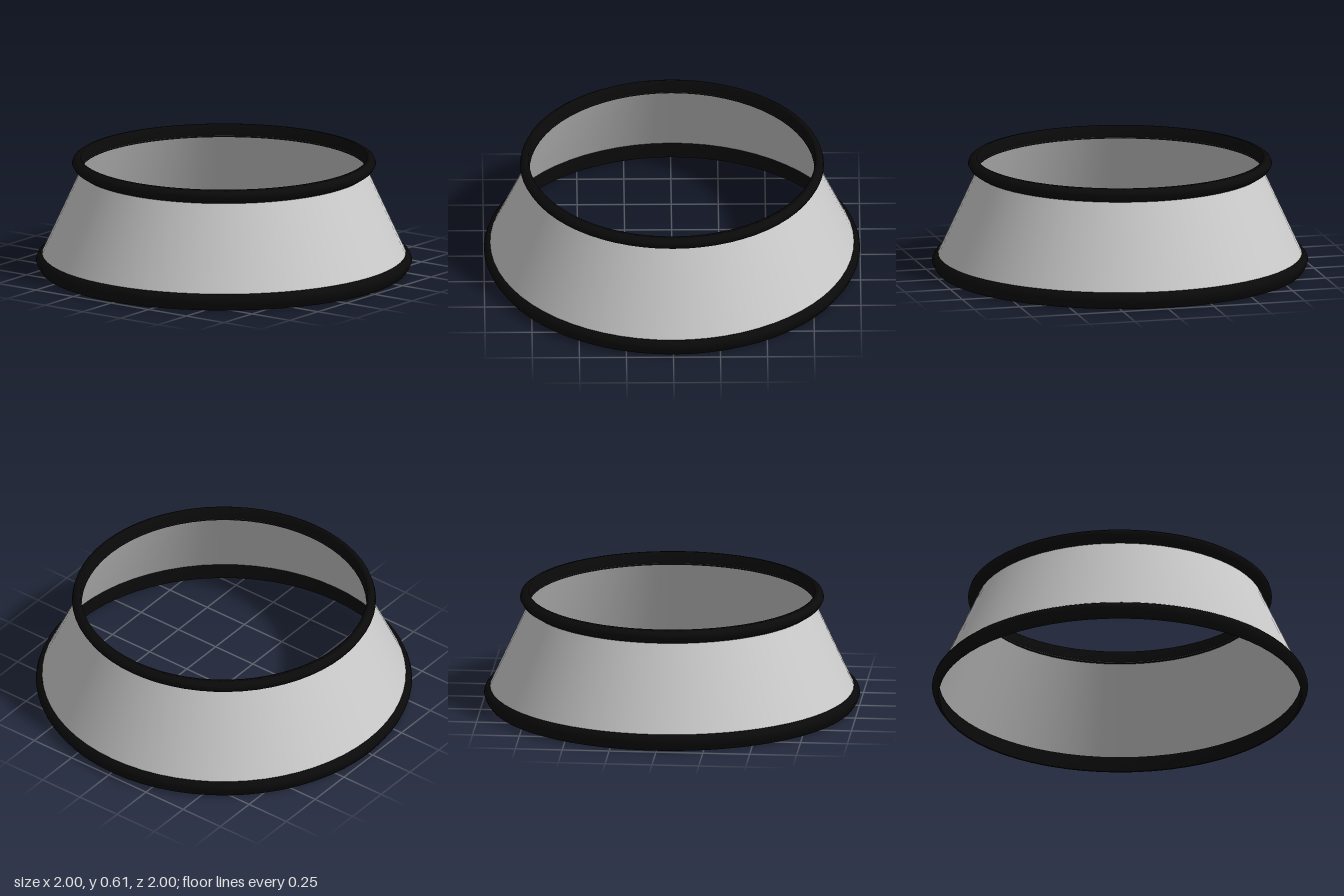
import * as THREE from 'three';

const SEGMENTS = 64;

// Revolve a profile of [radius, height] points around the y axis
function revolve(name, profile, color, side = THREE.FrontSide) {
  const points = profile.map(([r, y]) => new THREE.Vector2(r, y));
  const mesh = new THREE.Mesh(
    new THREE.LatheGeometry(points, SEGMENTS),
    new THREE.MeshStandardMaterial({ color, side })
  );
  mesh.name = name;
  return mesh;
}

export function createModel() {
  const group = new THREE.Group();
  group.name = 'taperedRing';

  // Thin open conical wall
  group.add(revolve('conicalWall', [[0.97, 0.08], [0.757, 0.545]], 0xcccccc, THREE.DoubleSide));

  // Dark lower rim: rounded outside, straight inside
  group.add(revolve('lowerRim', [
    [0.963, 0], [0.973, 0], [0.99, 0.025], [1, 0.05], [0.993, 0.07],
    [0.975, 0.09], [0.963, 0.085], [0.963, 0],
  ], 0x0a0a0a));

  // Dark upper rim: bulging lip
  group.add(revolve('upperRim', [
    [0.757, 0.537], [0.767, 0.535], [0.795, 0.553], [0.808, 0.575], [0.803, 0.592],
    [0.785, 0.605], [0.762, 0.61], [0.757, 0.537],
  ], 0x0a0a0a));

  return group;
}
